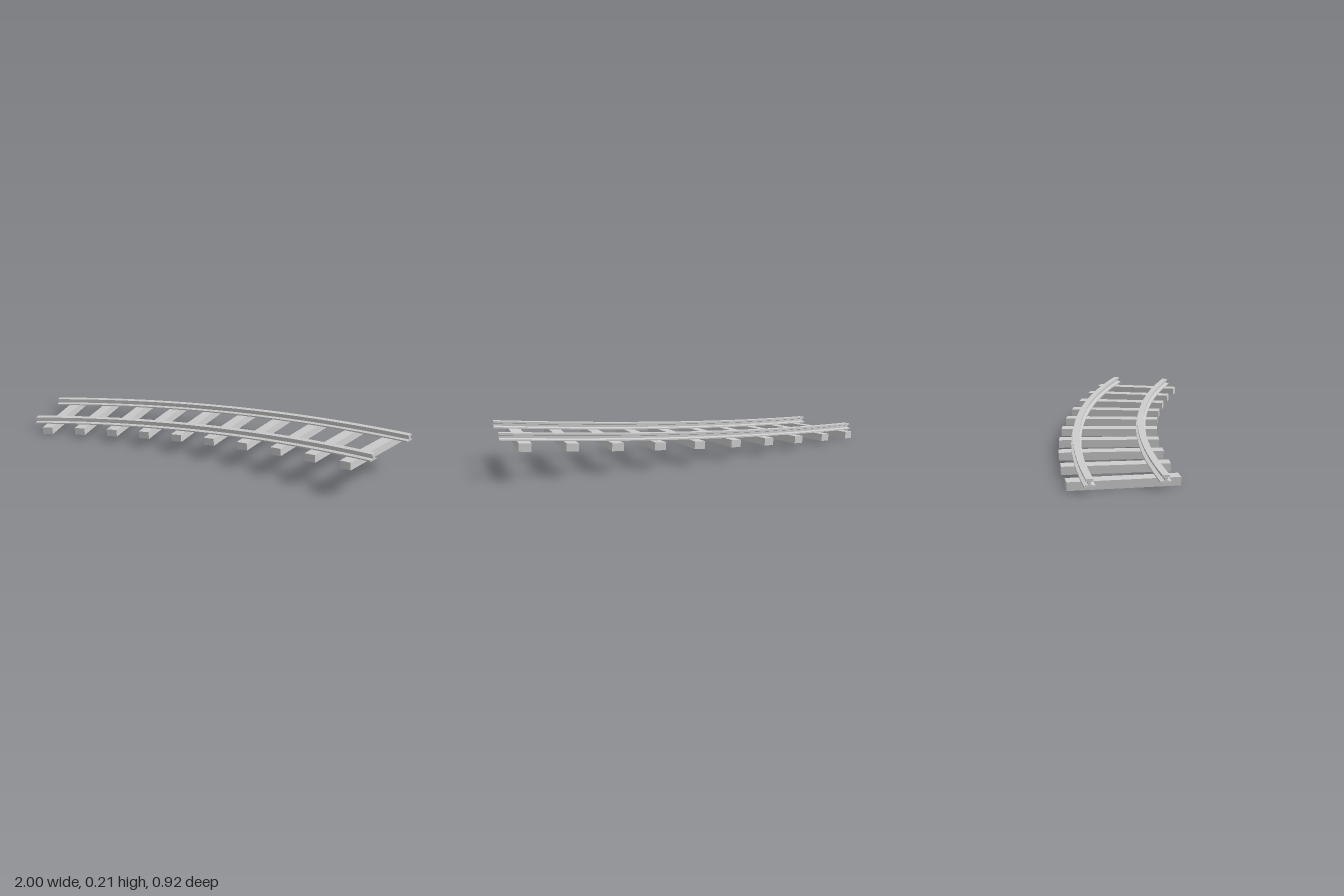
import * as THREE from 'three';
import { toCreasedNormals } from 'three/addons/utils/BufferGeometryUtils.js';

const ARC = Math.PI / 6;   // the track turns through 30 degrees
const RISE = 0.15;         // climb from start to end
const CENTRE_X = -1, CENTRE_Z = 3.597;
const MID_RADIUS = 3.821, HALF_GAUGE = 0.156;
const SLEEPERS = 10;
const SLEEPER = { width: 0.057, height: 0.037, length: 0.475 };
const BASE_Y = -0.0054;    // underside of the sleepers at the start of the slope

// point on the climbing curve: t runs 0..1 along the track
function onTrack(radius, height, t) {
  const a = t * ARC;
  return new THREE.Vector3(
    CENTRE_X + radius * Math.sin(a),
    BASE_Y + RISE * t + height,
    CENTRE_Z - radius * Math.cos(a)
  );
}

// I-shaped rail section, swept along the curve
function railGeometry(radius) {
  const half = [
    [0.0235, 0], [0.0235, 0.006], [0.006, 0.01],
    [0.006, 0.021], [0.0155, 0.024], [0.0155, 0.033],
  ];
  const outline = [...half, ...half.map(([x, y]) => [-x, y]).reverse()];
  const shape = new THREE.Shape(outline.map(([x, y]) => new THREE.Vector2(x, y)));
  const geometry = new THREE.ExtrudeGeometry(shape, { depth: 1, steps: 24, bevelEnabled: false });
  const pos = geometry.attributes.position;
  for (let i = 0; i < pos.count; i++) {
    const p = onTrack(radius + pos.getX(i), SLEEPER.height + pos.getY(i), pos.getZ(i));
    pos.setXYZ(i, p.x, p.y, p.z);
  }
  return toCreasedNormals(geometry, 0.3);
}

export function createModel() {
  const track = new THREE.Group();
  track.name = 'curvedTrack';
  const grey = new THREE.MeshStandardMaterial({ color: 0xcccccc });
  grey.name = 'lightGrey';

  // two parallel rails
  for (const [name, side] of [['outerRail', 1], ['innerRail', -1]]) {
    const rail = new THREE.Mesh(railGeometry(MID_RADIUS + side * HALF_GAUGE), grey);
    rail.name = name;
    track.add(rail);
  }

  // evenly spaced sleepers, turned with the curve and tilted with the slope
  const sleepers = new THREE.Group();
  sleepers.name = 'sleepers';
  const box = new THREE.BoxGeometry(SLEEPER.width, SLEEPER.height, SLEEPER.length);
  const tilt = Math.atan(RISE / (MID_RADIUS * ARC));
  for (let i = 0; i < SLEEPERS; i++) {
    const t = (i + 0.5) / SLEEPERS;
    const sleeper = new THREE.Mesh(box, grey);
    sleeper.name = `sleeper${i + 1}`;
    sleeper.position.copy(onTrack(MID_RADIUS, SLEEPER.height / 2, t));
    sleeper.rotation.set(0, -t * ARC, tilt, 'YXZ');
    sleepers.add(sleeper);
  }
  track.add(sleepers);
  return track;
}
